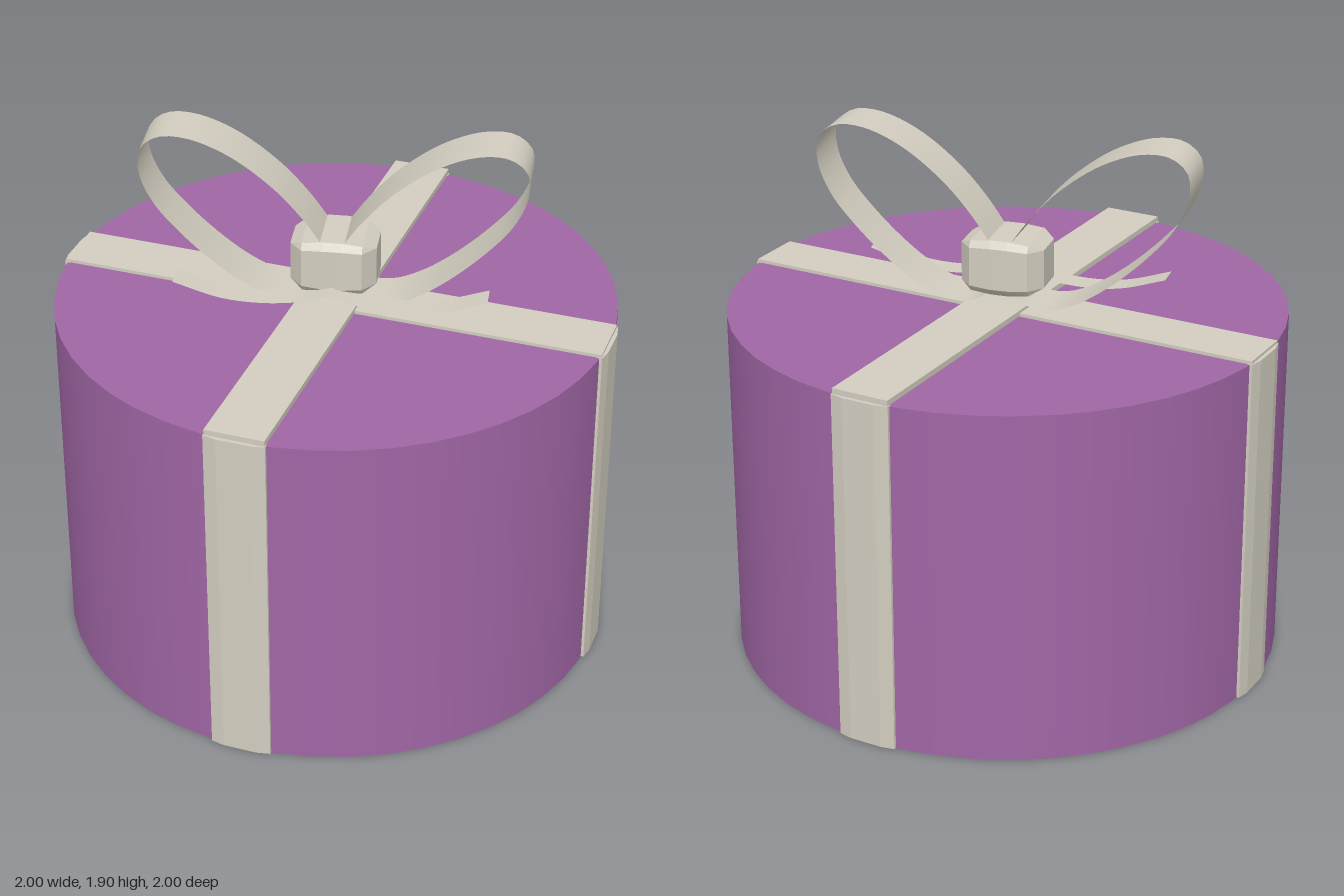
import * as THREE from 'three';
import { ConvexGeometry } from 'three/addons/geometries/ConvexGeometry.js';

const purple = new THREE.MeshStandardMaterial({ color: 0xa066a5 });
purple.name = 'purple paper';
const cream = new THREE.MeshStandardMaterial({ color: 0xd3cec0, side: THREE.DoubleSide });
cream.name = 'cream ribbon';

function add(parent, name, geometry, material, x = 0, y = 0, z = 0) {
  const mesh = new THREE.Mesh(geometry, material);
  mesh.name = name;
  mesh.position.set(x, y, z);
  parent.add(mesh);
  return mesh;
}

// Thin smooth band that follows a curve in x/y and is given a width along z
function band(points, width, steps) {
  const curve = new THREE.CatmullRomCurve3(points.map(([x, y]) => new THREE.Vector3(x, y, 0)));
  const path = curve.getSpacedPoints(steps);
  const geometry = new THREE.PlaneGeometry(1, 1, steps, 1);
  const pos = geometry.attributes.position;
  for (let i = 0; i < pos.count; i++) {
    const p = path[i % (steps + 1)];
    pos.setXYZ(i, p.x, p.y, i <= steps ? -width / 2 : width / 2);
  }
  geometry.computeVertexNormals();
  return geometry;
}

export function createModel() {
  const model = new THREE.Group();
  model.name = 'giftBox';

  // Round box
  add(model, 'box', new THREE.CylinderGeometry(0.985, 0.985, 1.27, 48), purple, 0, 0.635, 0);

  // Ribbons crossing the lid
  add(model, 'lidRibbonAcross', new THREE.BoxGeometry(1.97, 0.02, 0.21), cream, 0, 1.272, 0);
  add(model, 'lidRibbonAlong', new THREE.BoxGeometry(0.21, 0.02, 1.97), cream, 0, 1.282, 0);

  // Ribbons down the four sides, slightly bowed outward
  const section = new THREE.Shape([
    [-0.108, 0.97], [-0.108, 0.988], [-0.06, 0.998], [0.06, 0.998], [0.108, 0.988], [0.108, 0.97],
  ].map(([x, y]) => new THREE.Vector2(x, y)));
  const sideRibbon = new THREE.ExtrudeGeometry(section, { depth: 1.272, bevelEnabled: false });
  sideRibbon.rotateX(-Math.PI / 2);
  ['back', 'left', 'front', 'right'].forEach((side, i) => {
    add(model, side + 'Ribbon', sideRibbon, cream).rotation.y = -i * Math.PI / 2;
  });

  // Ribbon under the base
  add(model, 'baseRibbon', new THREE.BoxGeometry(1.53, 0.006, 0.21), cream, 0.215, 0.001, 0);

  // Bow, turned a little
  const bow = new THREE.Group();
  bow.name = 'bow';
  bow.rotation.y = 0.2;
  model.add(bow);

  const loop = [
    [0.01, 1.48], [0.1, 1.61], [0.21, 1.73], [0.36, 1.84], [0.5, 1.893], [0.6, 1.89], [0.66, 1.84],
    [0.665, 1.75], [0.62, 1.64], [0.53, 1.53], [0.4, 1.41], [0.29, 1.335], [0.19, 1.295], [0.1, 1.3], [0.01, 1.36],
  ];
  const tail = [[0, 1.365], [0.1, 1.335], [0.24, 1.32], [0.38, 1.33], [0.545, 1.38]];
  for (const s of [1, -1]) {
    const side = s > 0 ? 'left' : 'right';
    const mirror = (pts) => pts.map(([x, y]) => [s * x, y]);
    add(bow, side + 'Loop', band(mirror(loop), 0.19, 56), cream);
    add(bow, side + 'Tail', band(mirror(tail), 0.092, 16), cream, 0, 0, 0.134);
  }

  // Faceted knot
  const corners = [];
  for (const sx of [-1, 1]) for (const sy of [-1, 1]) for (const sz of [-1, 1]) {
    for (const [x, y, z] of [[0.15, 0.07, 0.06], [0.105, 0.092, 0.098], [0.03, 0.1, 0.1], [0.03, 0.075, 0.12], [0.105, 0.07, 0.114]]) {
      corners.push(new THREE.Vector3(sx * x, sy * y, sz * z));
    }
  }
  add(bow, 'knot', new ConvexGeometry(corners), cream, 0, 1.43, 0);

  return model;
}
